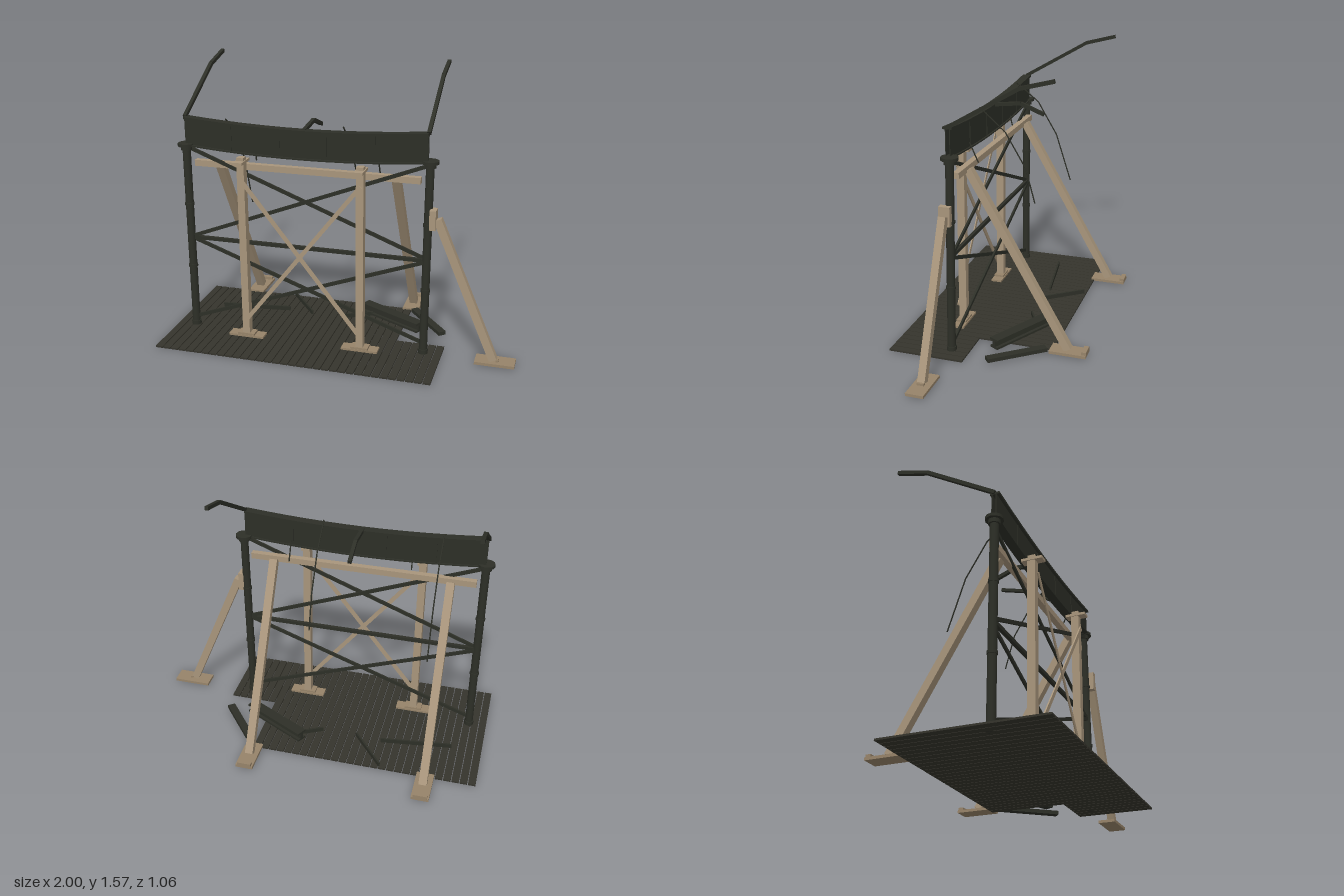
import * as THREE from 'three';

const mat = (name, color) => {
  const m = new THREE.MeshStandardMaterial({ color });
  m.name = name;
  return m;
};

export function createModel() {
  const root = new THREE.Group();
  root.name = 'shoredBridgeSpan';
  const deckMat = mat('charred planks', 0x35342c);
  const steel = mat('dark steel', 0x2d2f27);
  const wood = mat('timber', 0xa8957b);
  const padMat = mat('worn timber', 0x968369);
  const V = (p) => new THREE.Vector3(...p);

  const add = (name, geo, m) => {
    const mesh = new THREE.Mesh(geo, m);
    mesh.name = name;
    root.add(mesh);
    return mesh;
  };
  // Box given by its minimum and maximum corners
  const box = (name, a, b, m) => {
    const mesh = add(name, new THREE.BoxGeometry(b[0] - a[0], b[1] - a[1], b[2] - a[2]), m);
    mesh.position.set((a[0] + b[0]) / 2, (a[1] + b[1]) / 2, (a[2] + b[2]) / 2);
    return mesh;
  };
  // Straight bar between two points, w across and h deep
  const bar = (name, a, b, w, h, m) => {
    const p = V(a), q = V(b);
    const mesh = add(name, new THREE.BoxGeometry(w, h, p.distanceTo(q)), m);
    mesh.position.copy(p).add(q).multiplyScalar(0.5);
    mesh.lookAt(q);
    return mesh;
  };
  // Bent bar at fixed x through [z, y] points
  const bent = (name, x, pts, t) => {
    for (let i = 0; i < pts.length - 1; i++) {
      bar(name, [x, pts[i][1], pts[i][0]], [x, pts[i + 1][1], pts[i + 1][0]], t, t, steel);
    }
  };
  const cyl = (name, a, b, r, m, sides = 12) => {
    const p = V(a), q = V(b);
    const mesh = add(name, new THREE.CylinderGeometry(r, r, p.distanceTo(q), sides), m);
    mesh.position.copy(p).add(q).multiplyScalar(0.5);
    mesh.quaternion.setFromUnitVectors(new THREE.Vector3(0, 1, 0), q.sub(p).normalize());
    return mesh;
  };

  // Plank floor with the rear corner broken away
  const boards = 34, pitch = 1.595 / boards;
  for (let i = 0; i < boards; i++) {
    const x = -1 + i * pitch;
    box('floorPlank', [x, 0, x > 0.31 ? 0.1 : -0.335], [x + pitch - 0.005, 0.01, 0.53], deckMat);
  }

  // Steel columns with collars, base and cap
  for (const [x, lean, back] of [[-0.895, 0, 0], [0.485, 0.008, -0.015]]) {
    const at = (y) => [x + lean * y, y, 0.2 + back * y];
    cyl('steelColumn', at(0), at(1.13), 0.023, steel);
    cyl('columnBase', at(0.005), at(0.035), 0.028, steel);
    for (const y of [0.39, 0.77]) cyl('columnCollar', at(y - 0.008), at(y + 0.008), 0.027, steel);
    cyl('columnCap', at(1.113), at(1.13), 0.048, steel);
    cyl('columnCapLip', at(1.09), at(1.113), 0.032, steel);
    // Bent arm rising backwards
    bent('bentArm', x, [[0.2, 1.28], [-0.19, 1.51], [-0.37, 1.558]], 0.02);
  }
  bent('middleBentArm', -0.2, [[0.2, 1.245], [0.02, 1.265], [-0.12, 1.21]], 0.02);

  // Crossed steel bracing in two tiers
  const L = -0.88, R = 0.475;
  for (const [lo, hi] of [[0.065, 0.555], [0.575, 1.1]]) {
    bar('steelBrace', [L, lo, 0.2], [R, hi, 0.2], 0.012, 0.02, steel);
    bar('steelBrace', [L, hi, 0.188], [R, lo, 0.188], 0.012, 0.02, steel);
  }
  bar('steelRail', [L, 0.565, 0.194], [R, 0.565, 0.194], 0.02, 0.02, steel);

  // Sagging girder: two webs between curved flanges
  const x0 = -0.895, x1 = 0.485, mid = (x0 + x1) / 2, half = (x1 - x0) / 2;
  const sag = (x) => 0.033 * ((x - mid) / half) ** 2;
  const band = (name, lo, hi, z, depth) => {
    const s = new THREE.Shape();
    const n = 12, xs = Array.from({ length: n + 1 }, (_, i) => x0 + ((x1 - x0) * i) / n);
    xs.forEach((x, i) => (i ? s.lineTo(x, lo + sag(x)) : s.moveTo(x, lo + sag(x))));
    xs.reverse().forEach((x) => s.lineTo(x, hi + sag(x)));
    s.closePath();
    const mesh = add(name, new THREE.ExtrudeGeometry(s, { depth, bevelEnabled: false }), steel);
    mesh.position.z = z;
  };
  band('girderWebFront', 1.09, 1.24, 0.204, 0.005);
  band('girderWebBack', 1.09, 1.24, 0.181, 0.005);
  band('girderTopFlange', 1.238, 1.251, 0.172, 0.052);
  band('girderBottomFlange', 1.086, 1.094, 0.172, 0.052);
  for (const x of [-0.62, -0.34, -0.07, 0.2]) {
    const y = sag(x);
    box('girderRib', [x - 0.003, 1.09 + y, 0.177], [x + 0.003, 1.24 + y, 0.212], steel);
  }

  // Loose hanging rods
  const hang = (x, pts) => {
    for (let i = 0; i < pts.length - 1; i++) {
      cyl('hangingRod', [x, pts[i][1], pts[i][0]], [x, pts[i + 1][1], pts[i + 1][0]], 0.004, steel, 6);
    }
  };
  hang(-0.655, [[0.19, 1.28], [0.05, 1.17], [-0.07, 0.97], [-0.165, 0.68]]);
  hang(0.02, [[0.19, 1.28], [0.04, 1.15], [-0.08, 0.95], [-0.135, 0.75]]);
  hang(-0.49, [[0.18, 1.11], [0.165, 1.05]]);
  hang(0.21, [[0.18, 1.13], [0.13, 1.02]]);

  // Timber crossbeam behind the girder
  box('timberCrossbeam', [-0.855, 0.995, 0.153], [0.445, 1.03, 0.188], wood);

  // Upright timber props with pads and caps
  for (const x of [-0.543, 0.135]) {
    box('timberProp', [x - 0.021, 0.03, 0.237], [x + 0.021, 1.07, 0.282], wood);
    box('propCap', [x - 0.026, 1.058, 0.205], [x + 0.026, 1.073, 0.322], wood);
    box('propWedge', [x - 0.02, 1.073, 0.24], [x + 0.02, 1.09, 0.282], wood);
    box('propPad', [x - 0.105, 0.01, 0.225], [x + 0.105, 0.022, 0.292], padMat);
    box('propPadBlock', [x - 0.05, 0.022, 0.23], [x + 0.05, 0.034, 0.29], padMat);
  }
  bar('timberCross', [-0.55, 0.105, 0.287], [0.14, 0.985, 0.287], 0.008, 0.024, wood);
  bar('timberCross', [-0.55, 0.985, 0.294], [0.14, 0.105, 0.294], 0.006, 0.024, wood);

  // Raking timbers at the back
  for (const x of [-0.715, 0.305]) {
    bar('rakingTimber', [x, 1.01, 0.15], [x, 0.025, -0.42], 0.046, 0.042, wood);
    box('rakePad', [x - 0.05, 0.004, -0.53], [x + 0.05, 0.02, -0.32], padMat);
    box('rakeStop', [x - 0.04, 0.02, -0.53], [x + 0.04, 0.037, -0.502], padMat);
  }

  // Raking timber at the side
  bar('sideRakingTimber', [0.548, 0.815, 0.205], [0.88, 0.025, 0.205], 0.042, 0.044, wood);
  box('sideCleat', [0.505, 0.757, 0.172], [0.54, 0.867, 0.236], wood);
  box('sidePad', [0.78, 0.004, 0.15], [1, 0.02, 0.25], padMat);
  box('sideStop', [0.895, 0.02, 0.185], [0.91, 0.032, 0.225], padMat);

  // Fallen I-beam
  const fallen = (y0, y1, w) =>
    bar('fallenBeam', [0.045, (y0 + y1) / 2, -0.222], [0.42, (y0 + y1) / 2, -0.025], w, y1 - y0, steel);
  fallen(0.066, 0.078, 0.062);
  fallen(0.032, 0.066, 0.02);
  fallen(0.02, 0.032, 0.056);

  // Fallen plate and rods on the floor
  bar('fallenPlate', [0.335, 0.024, -0.3], [0.555, 0.024, -0.03], 0.045, 0.022, steel);
  bar('fallenRod', [-0.825, 0.025, -0.055], [-0.41, 0.025, -0.112], 0.01, 0.025, steel);
  bar('fallenRod', [-0.445, 0.025, -0.325], [-0.26, 0.025, -0.095], 0.01, 0.025, steel);
  bar('fallenRod', [-0.055, 0.025, -0.1], [0.12, 0.025, -0.19], 0.01, 0.025, steel);

  return root;
}
